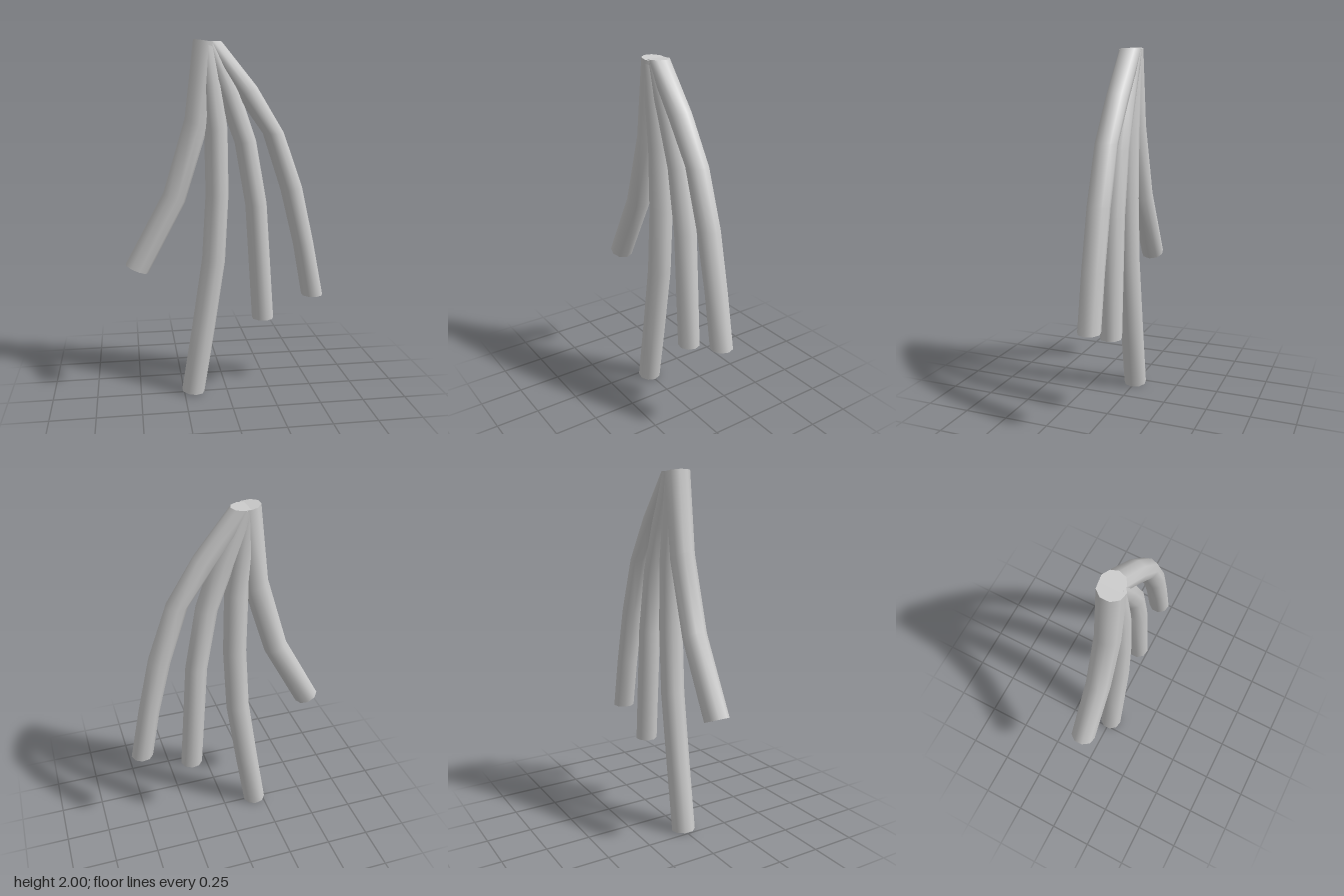
import * as THREE from 'three';

const SIDES = 9;

// Strand swept through tilted rings, top to bottom.
// Each ring is [left x, left y, right x, right y]; one corner points right, a flat lies left.
function strand(name, rings, depth, z0, material) {
  const leftReach = Math.cos(Math.PI / SIDES);
  const pos = [], index = [];

  const addRing = ([lx, ly, rx, ry]) => {
    const first = pos.length / 3;
    for (let j = 0; j < SIDES; j++) {
      const a = (j / SIDES) * Math.PI * 2;
      const t = (Math.cos(a) + leftReach) / (1 + leftReach);
      pos.push(lx + (rx - lx) * t, ly + (ry - ly) * t, z0 + depth * Math.sin(a));
    }
    return first;
  };

  // smooth side wall
  const starts = rings.map(addRing);
  for (let i = 0; i < starts.length - 1; i++) {
    for (let j = 0; j < SIDES; j++) {
      const k = (j + 1) % SIDES;
      const a = starts[i] + j, b = starts[i] + k;
      const c = starts[i + 1] + j, d = starts[i + 1] + k;
      index.push(a, b, c, b, d, c);
    }
  }

  // flat end caps with their own vertices, so the rims stay sharp
  const top = addRing(rings[0]);
  const bottom = addRing(rings[rings.length - 1]);
  for (let j = 1; j < SIDES - 1; j++) {
    index.push(top, top + j + 1, top + j);
    index.push(bottom, bottom + j, bottom + j + 1);
  }

  const geometry = new THREE.BufferGeometry();
  geometry.setAttribute('position', new THREE.Float32BufferAttribute(pos, 3));
  geometry.setIndex(index);
  geometry.computeVertexNormals();
  const mesh = new THREE.Mesh(geometry, material);
  mesh.name = name;
  return mesh;
}

export function createModel() {
  const group = new THREE.Group();
  group.name = 'hangingStrands';
  const grey = new THREE.MeshStandardMaterial({ color: 0xcccccc });

  // short strand bending outward to the -x side
  group.add(strand('outerRightStrand', [
    [-0.178, 2.0, -0.05, 1.98],
    [-0.228, 1.585, -0.108, 1.53],
    [-0.35, 1.183, -0.233, 1.13],
    [-0.566, 0.785, -0.445, 0.732],
  ], 0.068, 0, grey));

  // longest strand, reaching the ground
  group.add(strand('longStrand', [
    [-0.175, 1.98, -0.055, 1.97],
    [-0.15, 1.78, -0.025, 1.75],
    [-0.122, 1.52, 0.004, 1.53],
    [-0.116, 1.17, 0.01, 1.17],
    [-0.138, 0.8, -0.01, 0.785],
    [-0.198, 0.4, -0.07, 0.385],
    [-0.26, 0.016, -0.132, 0.003],
  ], 0.067, 0, grey));

  // inner strand on the +x side
  group.add(strand('innerLeftStrand', [
    [-0.15, 1.985, -0.04, 1.985],
    [-0.04, 1.69, 0.07, 1.735],
    [0.048, 1.45, 0.164, 1.465],
    [0.11, 1.1, 0.228, 1.11],
    [0.153, 0.435, 0.275, 0.435],
  ], 0.0624, -0.008, grey));

  // outer strand on the +x side
  group.add(strand('outerLeftStrand', [
    [-0.147, 1.99, -0.026, 1.99],
    [0.063, 1.7, 0.167, 1.755],
    [0.206, 1.5, 0.32, 1.505],
    [0.312, 1.18, 0.43, 1.2],
    [0.39, 0.865, 0.503, 0.88],
    [0.445, 0.563, 0.566, 0.563],
  ], 0.0624, -0.008, grey));

  return group;
}
